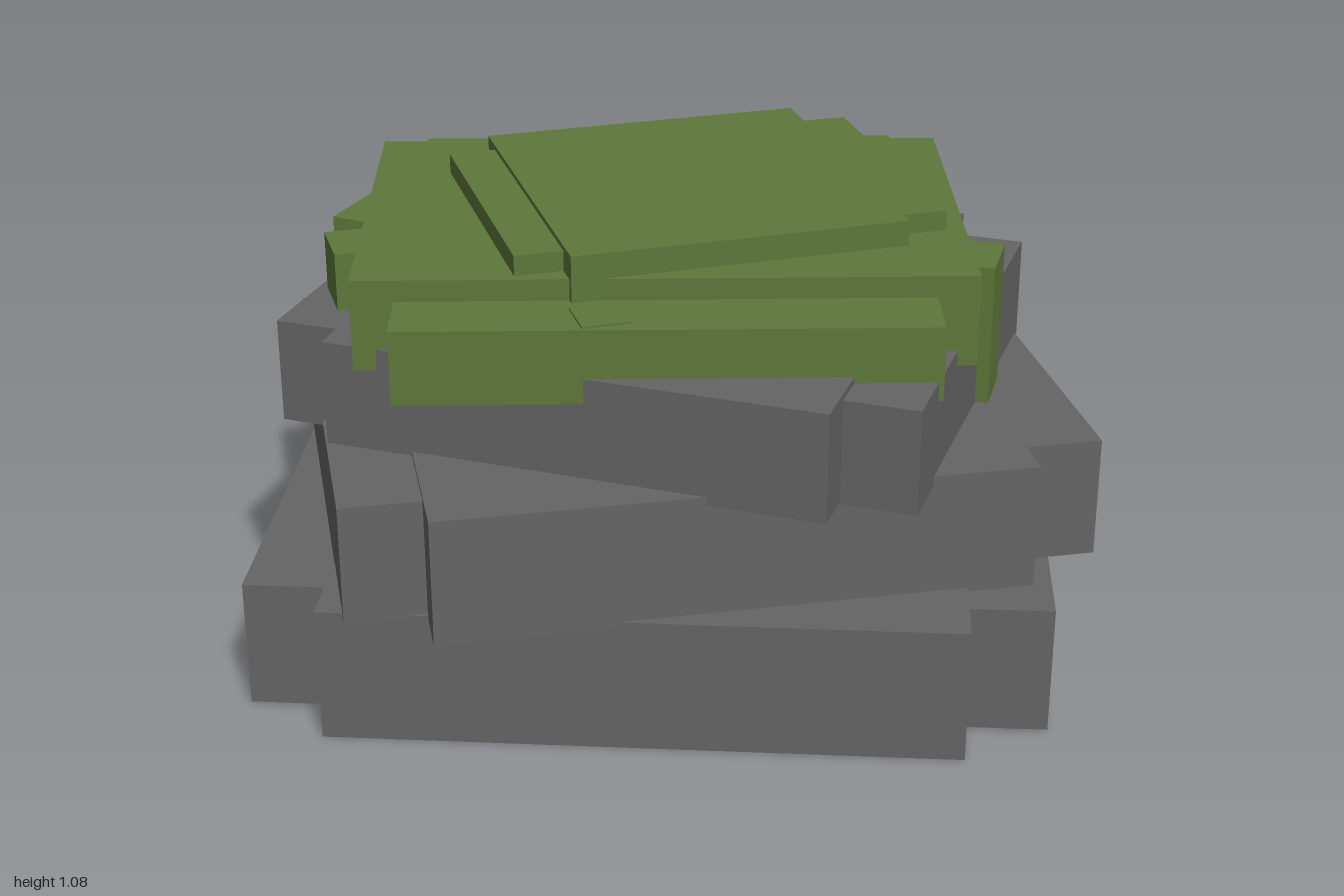
import * as THREE from 'three';

export function createModel() {
  const model = new THREE.Group();
  const stone = new THREE.MeshStandardMaterial({ color: 0x656565 });
  stone.name = 'grey stone';
  const moss = new THREE.MeshStandardMaterial({ color: 0x5e773a });
  moss.name = 'moss green';

  // Block turned about y, given its centre, footprint and bottom/top heights
  function block(name, material, [x, z], [w, d], [y0, y1], degrees = 0) {
    const mesh = new THREE.Mesh(new THREE.BoxGeometry(w, y1 - y0, d), material);
    mesh.name = name;
    mesh.position.set(x, (y0 + y1) / 2, z);
    mesh.rotation.y = THREE.MathUtils.degToRad(degrees);
    model.add(mesh);
  }

  // Stone layers: each is a wide and a deep block crossed to notch the corners
  block('baseWide', stone, [-0.03, 0], [1.84, 1.285], [0.005, 0.315]);
  block('baseDeep', stone, [-0.03, 0], [1.455, 1.545], [0, 0.325]);
  block('middleWide', stone, [0, 0], [1.74, 1.208], [0.315, 0.605], 15);
  block('middleDeep', stone, [0, 0], [1.367, 1.45], [0.31, 0.615], 15);
  block('upperWide', stone, [-0.03, 0.03], [1.52, 1.044], [0.59, 0.84], -15);
  block('upperDeep', stone, [-0.033, 0.028], [1.18, 1.264], [0.595, 0.855], -15);

  // Moss cap
  block('mossWide', moss, [-0.035, -0.003], [1.395, 0.938], [0.805, 1.02], 5);
  block('mossDeep', moss, [-0.034, -0.002], [1.203, 1.273], [0.795, 0.97], 5);
  block('mossTopWide', moss, [0.03, -0.033], [1.02, 0.705], [0.97, 1.068], 20);
  block('mossTopDeep', moss, [0.027, -0.034], [0.79, 0.846], [0.97, 1.08], 20);

  // Hanging moss clumps around the sides
  block('mossClumpLeft', moss, [0.7, 0.105], [0.12, 0.16], [0.61, 0.955], -11);
  block('mossClumpRightBack', moss, [-0.75, -0.2], [0.12, 0.25], [0.62, 0.93], -20);
  block('mossClumpRightFront', moss, [-0.74, 0.18], [0.12, 0.15], [0.62, 0.98], 20);
  block('mossClumpBack', moss, [0.26, -0.51], [0.11, 0.12], [0.61, 0.96], 10);
  block('mossClumpFront', moss, [-0.13, 0.57], [0.11, 0.11], [0.62, 0.975], 20);

  return model;
}
